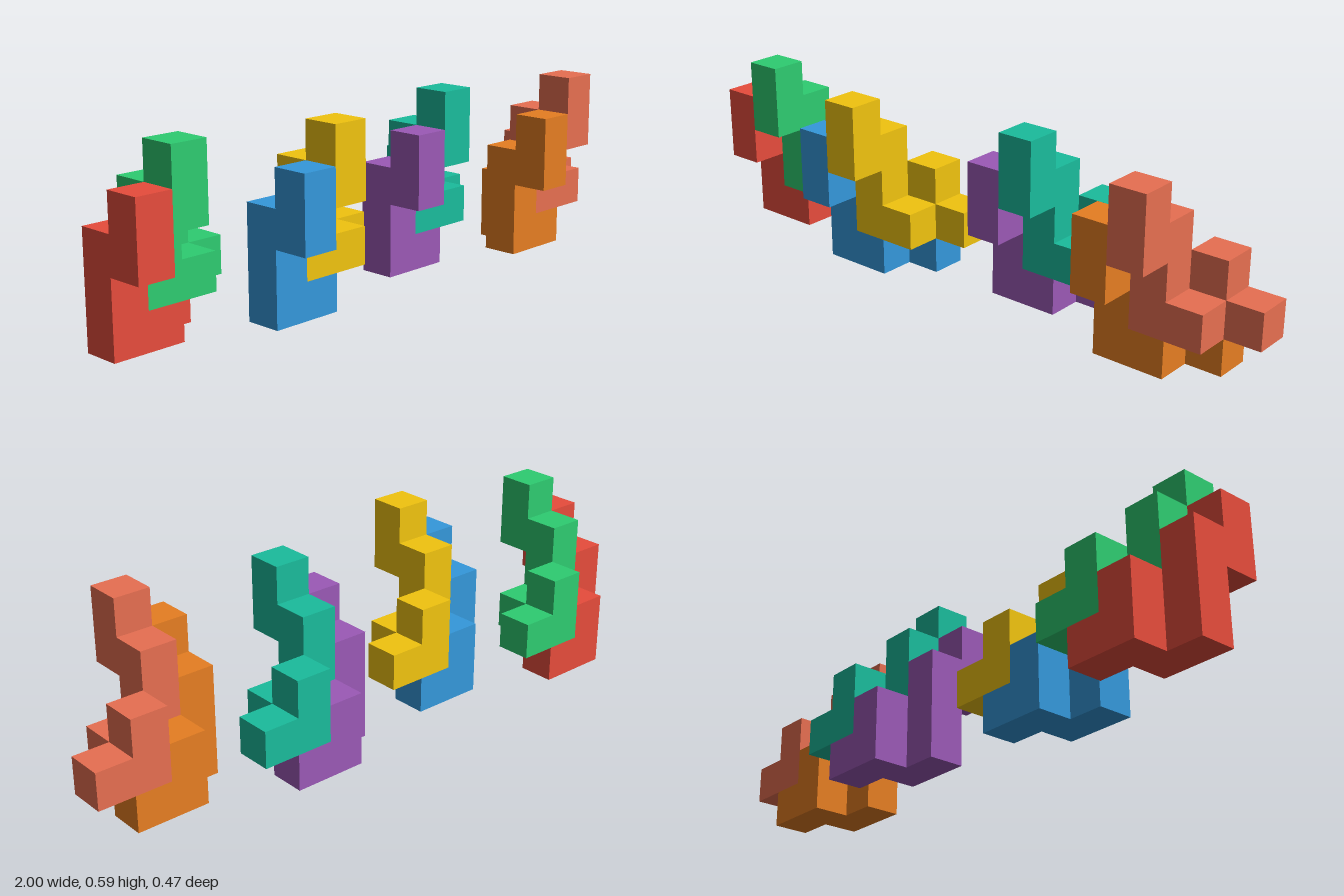
import * as THREE from 'three';
import { mergeGeometries } from 'three/addons/utils/BufferGeometryUtils.js';

const UNIT = 2 / 17; // edge of one cube

// Cells [x, y, z] of the stepped piece: back, middle and front layer
const CELLS = [
  [1, 0, 0], [2, 0, 0], [1, 1, 0],
  [0, 0, 1], [0, 1, 1], [0, 2, 1], [1, 0, 1],
  [0, 2, 2], [0, 3, 2],
];

// Outer skin of the cells: one square per cube side without a neighbour
function pieceGeometry() {
  const filled = new Set(CELLS.map(String));
  const forward = new THREE.Vector3(0, 0, 1);
  const normals = [[1, 0, 0], [-1, 0, 0], [0, 1, 0], [0, -1, 0], [0, 0, 1], [0, 0, -1]];
  const faces = [];
  for (const cell of CELLS) {
    for (const n of normals) {
      if (filled.has(String(cell.map((c, i) => c + n[i])))) continue;
      const turn = new THREE.Quaternion().setFromUnitVectors(forward, new THREE.Vector3(...n));
      const face = new THREE.PlaneGeometry(UNIT, UNIT).applyQuaternion(turn);
      face.translate(...cell.map((c, i) => (c + 0.5 + n[i] / 2) * UNIT));
      faces.push(face);
    }
  }
  return mergeGeometries(faces);
}

export function createModel() {
  const model = new THREE.Group();
  model.name = 'interlockingCubePieces';
  const geometry = pieceGeometry();

  // Four pairs in a staggered row
  const pairs = [
    { x: 0, z: -2, lower: 0xe74c3c, upper: 0x2ecc71 },
    { x: 4, z: -1, lower: 0x3498db, upper: 0xf1c40f },
    { x: 9, z: -2, lower: 0x9b59b6, upper: 0x1abc9c },
    { x: 13, z: -1, lower: 0xe67e22, upper: 0xe76f51 },
  ];

  pairs.forEach(({ x, z, lower, upper }, i) => {
    const pair = new THREE.Group();
    pair.name = `pair${i + 1}`;
    pair.position.set((x - 8.5) * UNIT, 0, z * UNIT);
    // The upper piece nests one step right and one step up
    [['lowerPiece', lower], ['upperPiece', upper]].forEach(([name, color], step) => {
      const piece = new THREE.Mesh(geometry, new THREE.MeshStandardMaterial({ color }));
      piece.name = name;
      piece.position.set(step * UNIT, step * UNIT, 0);
      pair.add(piece);
    });
    model.add(pair);
  });
  return model;
}
